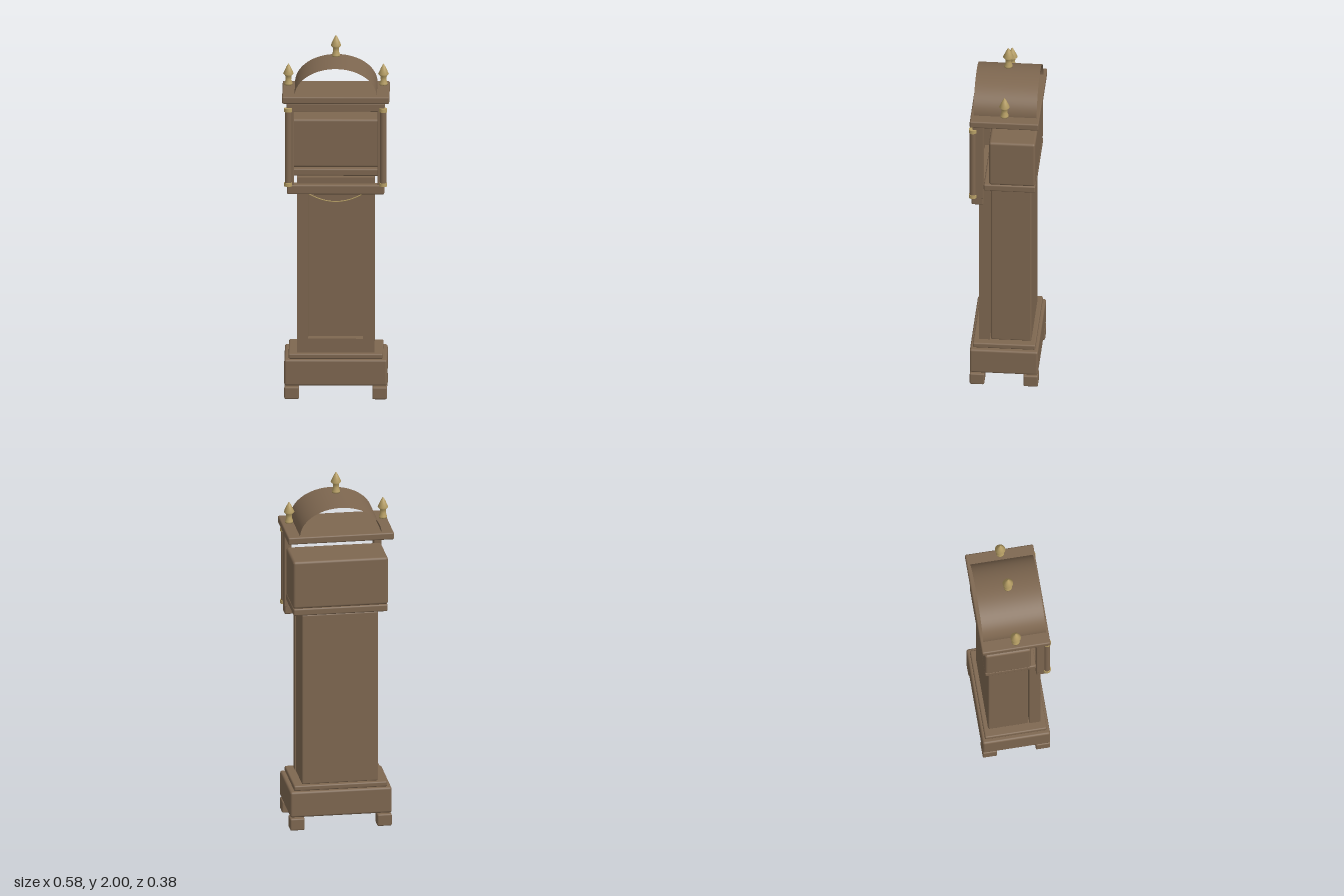
import * as THREE from 'three';
import { RoundedBoxGeometry } from 'three/addons/geometries/RoundedBoxGeometry.js';

export function createModel() {
  const group = new THREE.Group();
  group.name = 'longcaseClock';
  const wood = new THREE.MeshStandardMaterial({ name: 'walnut', color: 0x7e6750 });
  const shellWood = new THREE.MeshStandardMaterial({ name: 'walnutShell', color: 0x7e6750, side: THREE.DoubleSide });
  const brass = new THREE.MeshStandardMaterial({ name: 'brass', color: 0xb8a066 });

  const add = (name, geometry, material, x = 0, y = 0, z = 0) => {
    const mesh = new THREE.Mesh(geometry, material);
    mesh.name = name;
    mesh.position.set(x, y, z);
    group.add(mesh);
    return mesh;
  };
  // Rounded wooden block given by its extents
  const block = (name, x0, x1, y0, y1, z0, z1, r = 0.008) =>
    add(name, new RoundedBoxGeometry(x1 - x0, y1 - y0, z1 - z0, 2, r), wood,
      (x0 + x1) / 2, (y0 + y1) / 2, (z0 + z1) / 2);

  // Feet, plinth and step
  for (const s of [-1, 1]) {
    for (const z of [-0.148, 0.145]) {
      block('foot', s * 0.24 - 0.04, s * 0.24 + 0.04, 0, 0.068, z - 0.04, z + 0.04);
    }
  }
  block('plinth', -0.28, 0.28, 0.075, 0.222, -0.188, 0.185, 0.012);
  block('plinthStep', -0.257, 0.257, 0.222, 0.252, -0.172, 0.17);

  // Trunk: rear case plus a front frame around the recessed door
  block('trunk', -0.21, 0.21, 0.25, 1.23, -0.147, 0.074);
  const frame = new THREE.Shape();
  frame.moveTo(-0.212, 0.25).lineTo(0.212, 0.25).lineTo(0.212, 1.235).lineTo(-0.212, 1.235).closePath();
  const opening = new THREE.Path();
  opening.moveTo(-0.15, 0.33).lineTo(-0.15, 1.16).lineTo(0.15, 1.16).lineTo(0.15, 0.33).closePath();
  frame.holes.push(opening);
  add('trunkFrame', new THREE.ExtrudeGeometry(frame, { depth: 0.06, bevelEnabled: false }), wood, 0, 0, 0.08);
  add('doorPanel', new THREE.BoxGeometry(0.31, 0.84, 0.008), wood, 0, 0.74, 0.078);

  // Fine brass bead curving below the hood
  const bead = new THREE.QuadraticBezierCurve3(
    new THREE.Vector3(-0.15, 1.146, 0.146), new THREE.Vector3(0, 1.056, 0.146), new THREE.Vector3(0.15, 1.146, 0.146));
  add('doorBead', new THREE.TubeGeometry(bead, 24, 0.003, 6), brass);

  // Hood: moulding, case, open front frame
  block('hoodMoulding', -0.26, 0.26, 1.235, 1.275, -0.172, 0.11);
  block('hoodCase', -0.262, 0.262, 1.275, 1.547, -0.172, 0.082, 0.014);
  block('hoodBottomRail', -0.265, 0.265, 1.147, 1.2, 0.11, 0.176);
  block('hoodTopRail', -0.265, 0.265, 1.61, 1.656, 0.11, 0.17, 0.005);

  // Columns with brass bases and capitals
  for (const s of [-1, 1]) {
    block('hoodStile', s * 0.247 - 0.02, s * 0.247 + 0.02, 1.19, 1.655, 0.11, 0.17, 0.005);
    add('column', new THREE.CylinderGeometry(0.018, 0.018, 0.42, 20), wood, s * 0.259, 1.41, 0.169);
    for (const y of [1.203, 1.62]) {
      add('columnCollar', new THREE.CylinderGeometry(0.022, 0.022, 0.02, 20), brass, s * 0.259, y, 0.169);
    }
  }

  // Cornice and hollow arched crown
  block('cornice', -0.292, 0.292, 1.656, 1.696, -0.193, 0.184);
  const arch = new THREE.CylinderGeometry(0.225, 0.225, 0.346, 32, 1, true, Math.PI / 2, Math.PI);
  arch.rotateX(Math.PI / 2).scale(1, 0.7, 1);
  add('archedCrown', arch, shellWood, 0, 1.692, -0.004);

  // Finials: flared foot, waist, shoulder and point
  const profile = [[0, 0], [0.023, 0], [0.023, 0.008], [0.015, 0.03], [0.018, 0.05], [0.029, 0.062], [0.012, 0.1], [0, 0.12]]
    .map(([r, y]) => new THREE.Vector2(r, y));
  const finial = new THREE.LatheGeometry(profile, 20);
  add('centreFinial', finial, brass, 0, 1.88, -0.004);
  for (const s of [-1, 1]) add('sideFinial', finial, brass, s * 0.259, 1.72, -0.004);

  return group;
}
